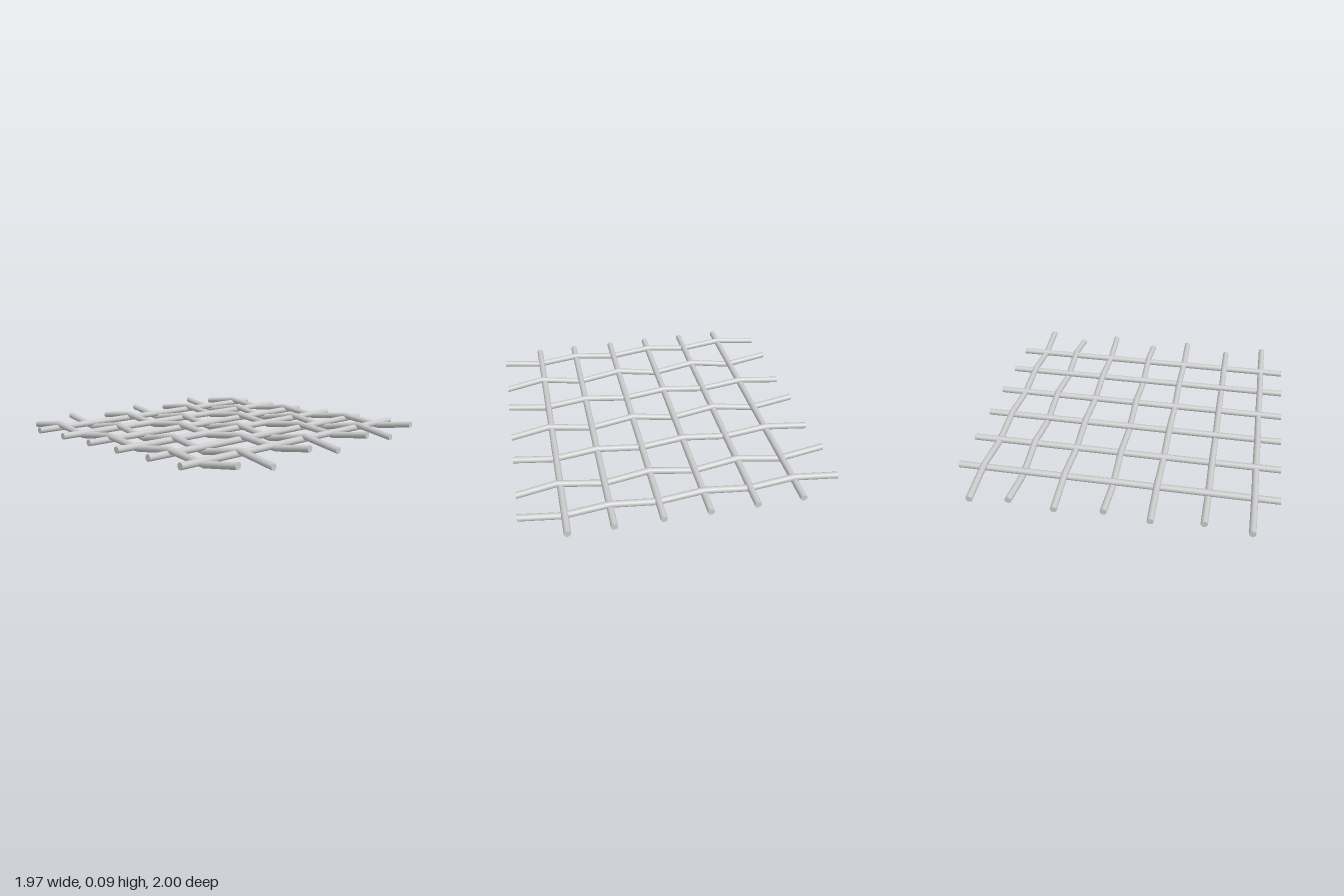
import * as THREE from 'three';

const RADIUS = 0.021;
const SIDES = 16;

export function createModel() {
  const group = new THREE.Group();
  group.name = 'wovenWireMesh';
  const material = new THREE.MeshStandardMaterial({ color: 0xcccccc });

  const addWire = (name, geometry, x, y, z) => {
    const mesh = new THREE.Mesh(geometry, material);
    mesh.name = name;
    mesh.position.set(x, y, z);
    group.add(mesh);
  };

  // Straight wires running front to back
  const straight = new THREE.CylinderGeometry(RADIUS, RADIUS, 2, SIDES).rotateX(Math.PI / 2);
  [-0.7, -0.415, -0.128, 0.153, 0.442, 0.709].forEach((x, i) =>
    addWire(`straightWire${i + 1}`, straight, x, 0.053, 0));

  // Crimped wires: each ring of a cylinder is moved to a bend, alternately up and down
  const bends = [-0.985, -0.7, -0.415, -0.13, 0.155, 0.44, 0.728, 0.98];
  const crimped = (evenY, oddY) => {
    const spans = bends.length - 1;
    const geometry = new THREE.CylinderGeometry(RADIUS, RADIUS, 1, SIDES, spans).rotateZ(-Math.PI / 2);
    const p = geometry.attributes.position;
    for (let i = 0; i < p.count; i++) {
      const ring = Math.round((p.getX(i) + 0.5) * spans);
      p.setX(i, bends[ring]);
      p.setY(i, p.getY(i) + (ring % 2 ? oddY : evenY));
    }
    return geometry;
  };
  const over = crimped(0.04, 0.075);
  const under = crimped(0.071, 0.022);

  // Neighbouring crimped wires weave in opposite phase
  [0.845, 0.57, 0.26, -0.015, -0.315, -0.588, -0.835].forEach((z, i) =>
    addWire(`crimpedWire${i + 1}`, i % 2 ? under : over, 0, 0, z));

  return group;
}
